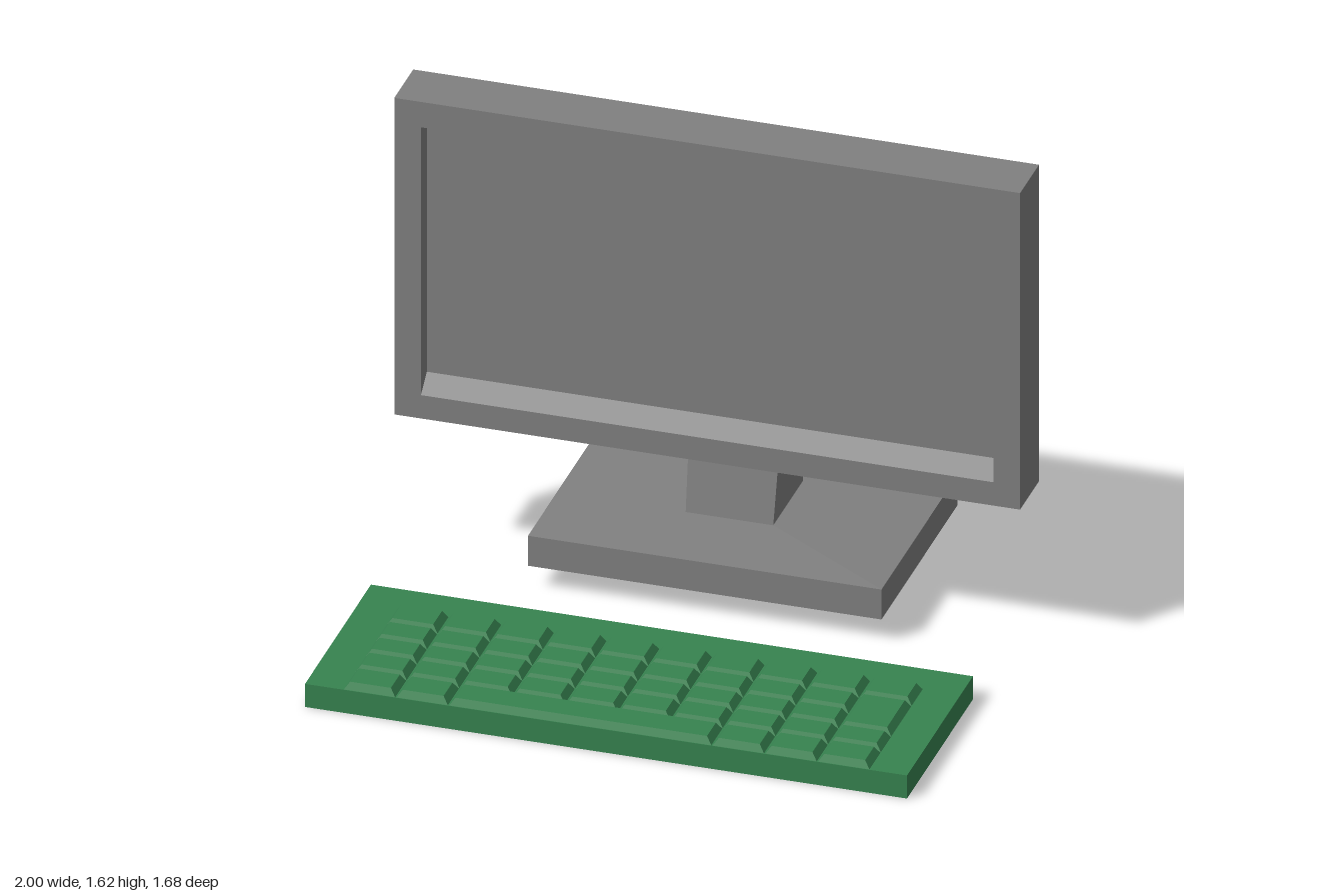
import * as THREE from 'three';

const grey = new THREE.MeshStandardMaterial({ color: 0x808080, flatShading: true, side: THREE.DoubleSide });
const green = new THREE.MeshStandardMaterial({ color: 0x378350, flatShading: true, side: THREE.DoubleSide });

// Four corners, counter-clockwise seen from above / from the front
const flatRing = (x0, x1, z0, z1, y) => [[x0, y, z1], [x1, y, z1], [x1, y, z0], [x0, y, z0]];
const uprightRing = (x0, x1, y0, y1, z) => [[x0, y0, z], [x1, y0, z], [x1, y1, z], [x0, y1, z]];

// Four faces joining one ring to the next
const walls = (a, b) => a.map((p, i) => [p, a[(i + 1) % 4], b[(i + 1) % 4], b[i]]);

// Flat-faced mesh from a list of four-cornered faces
function faceMesh(name, faces, material) {
  const geometry = new THREE.BufferGeometry();
  const points = faces.flatMap(([a, b, c, d]) => [a, b, c, a, c, d]).flat();
  geometry.setAttribute('position', new THREE.Float32BufferAttribute(points, 3));
  geometry.computeVertexNormals();
  const mesh = new THREE.Mesh(geometry, material);
  mesh.name = name;
  return mesh;
}

function createMonitor() {
  const monitor = new THREE.Group();
  monitor.name = 'monitor';

  const back = uprightRing(-1, 1, 0.527, 1.625, -0.285);
  const front = uprightRing(-1, 1, 0.527, 1.625, -0.095);
  const opening = uprightRing(-0.915, 0.915, 0.608, 1.537, -0.095);
  const screen = uprightRing(-0.915, 0.915, 0.658, 1.503, -0.155);
  // Small slanted ring where the tapered back meets the neck
  const joint = [[-0.153, 0.76, -0.435], [0.148, 0.76, -0.435], [0.158, 1.18, -0.54], [-0.158, 1.18, -0.54]];
  const foot = flatRing(-0.145, 0.135, -0.635, -0.335, 0.205);
  const baseTop = flatRing(-0.567, 0.563, -0.84, -0.077, 0.187);
  const baseBottom = flatRing(-0.567, 0.563, -0.84, -0.077, 0.083);

  monitor.add(
    faceMesh('housing', [...walls(back, front), ...walls(front, opening), ...walls(opening, screen)], grey),
    faceMesh('screen', [screen], grey),
    faceMesh('taperedBack', walls(joint, back), grey),
    faceMesh('neck', walls(foot, joint), grey),
    faceMesh('base', [...walls(baseBottom, baseTop), ...walls(baseTop, foot)], grey)
  );
  return monitor;
}

function createKeyboard() {
  const keyboard = new THREE.Group();
  keyboard.name = 'keyboard';
  const plateY = 0.08, keyY = 0.104, gap = 0.002, bevelX = 0.017, bevelZ = 0.011;
  const rowEdges = [0.3, 0.415, 0.52, 0.62, 0.725, 0.84];
  const columnEdge = (c) => -0.867 + c * 0.1684;

  // Key layout as [first column, end column, first row, end row]
  const layout = [[9, 10, 1, 3], [2, 7, 4, 5]];
  for (let r = 0; r < 5; r++) {
    for (let c = 0; c < 10; c++) {
      const tallKey = c === 9 && (r === 1 || r === 2);
      const spaceBar = r === 4 && c >= 2 && c < 7;
      if (!tallKey && !spaceBar) layout.push([c, c + 1, r, r + 1]);
    }
  }

  const outline = ([x0, x1, z0, z1]) =>
    [[x0, z1], [x1, z1], [x1, z0], [x0, z0]].map(([x, z]) => new THREE.Vector2(x, -z));
  const edge = [-0.988, 0.936, 0.177, 0.84];
  const plate = new THREE.Shape(outline(edge));

  // Hollow bevelled keys, each over its own hole in the plate
  const keyFaces = [];
  for (const [c0, c1, r0, r1] of layout) {
    const box = [columnEdge(c0) + gap, columnEdge(c1) - gap, rowEdges[r0] + gap, rowEdges[r1] - gap];
    const [x0, x1, z0, z1] = box;
    const top = flatRing(x0 + bevelX, x1 - bevelX, z0 + bevelZ, z1 - bevelZ, keyY);
    keyFaces.push(...walls(flatRing(...box, plateY), top), top);
    plate.holes.push(new THREE.Path(outline(box)));
  }

  const plateMesh = new THREE.Mesh(new THREE.ShapeGeometry(plate), green);
  plateMesh.name = 'keyboardPlate';
  plateMesh.rotation.x = -Math.PI / 2;
  plateMesh.position.y = plateY;

  keyboard.add(
    plateMesh,
    faceMesh('keyboardSides', walls(flatRing(...edge, 0), flatRing(...edge, plateY)), green),
    faceMesh('keys', keyFaces, green)
  );
  return keyboard;
}

export function createModel() {
  const model = new THREE.Group();
  model.name = 'desktopComputer';
  model.add(createMonitor(), createKeyboard());
  return model;
}
